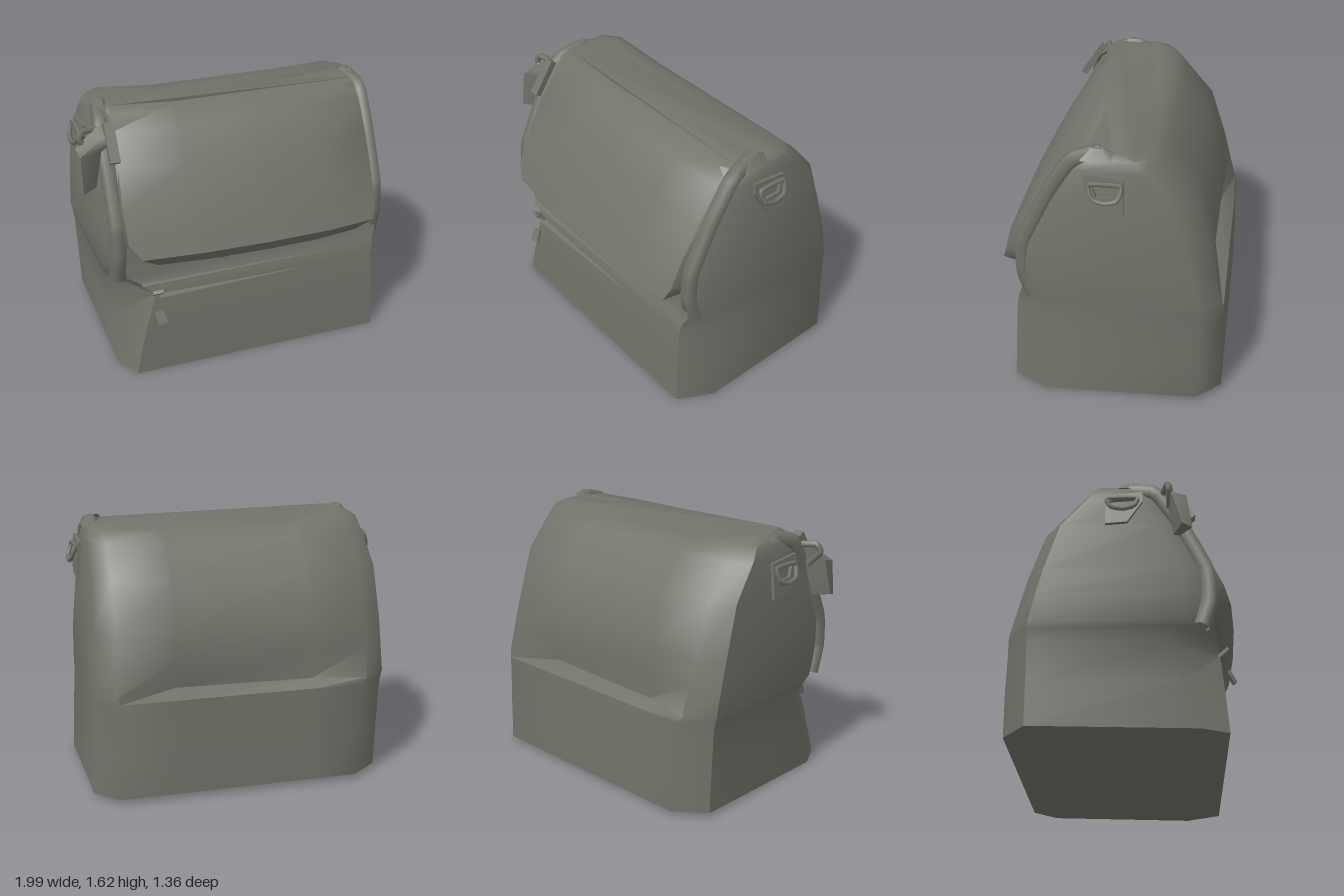
import * as THREE from 'three';
import { toCreasedNormals } from 'three/addons/utils/BufferGeometryUtils.js';

const canvas = new THREE.MeshStandardMaterial({ color: 0x72726a, side: THREE.DoubleSide });
canvas.name = 'olive grey canvas';

// Skin rows of points; closed rows wrap round and get caps
function loft(rows, closed, crease = 0.9) {
  const n = rows[0].length, idx = [];
  rows.slice(1).forEach((_, i) => {
    for (let j = 0; j < (closed ? n : n - 1); j++) {
      const a = i * n + j, b = i * n + (j + 1) % n;
      idx.push(a, b, b + n, a, b + n, a + n);
    }
  });
  if (closed) {
    const t = (rows.length - 1) * n;
    for (let j = 1; j < n - 1; j++) idx.push(0, j + 1, j, t, t + j, t + j + 1);
  }
  const g = new THREE.BufferGeometry();
  g.setAttribute('position', new THREE.Float32BufferAttribute(rows.flat(2), 3));
  g.setIndex(idx);
  return toCreasedNormals(g, crease);
}

function add(group, name, geometry) {
  const mesh = new THREE.Mesh(geometry, canvas);
  mesh.name = name;
  group.add(mesh);
  return mesh;
}

const tube = (points, r, closed = false) => new THREE.TubeGeometry(
  new THREE.CatmullRomCurve3(points.map(p => new THREE.Vector3(...p)), closed, 'catmullrom', 0.2),
  points.length * 4, r, 6, closed);

// Body ring with cut corners: left-front cut cl, right-front cut cf, back cut cb,
// dent pushes the back middle inward, lift raises the back, tilt raises the -x end, sag drops the middle
function ring([y, x0, x1, z0, z1, cl, cf, cb, dent = 0, lift = 0, tilt = 0, sag = 0]) {
  return [
    [x0 + cl, y + tilt, z1], [0.1, y - sag, z1], [x1 - cf, y, z1],
    [x1, y, z1 - cf * 1.9], [x1, y + lift, z0 + cb],
    [x1 - cb, y + lift, z0], [0.45, y + lift - sag, z0 + dent],
    [-0.4, y + lift - sag, z0 + dent * 0.7], [x0 + cb * 1.3, y + lift + tilt, z0],
    [x0, y + lift + tilt, z0 + cb], [x0, y + tilt, z1 - 0.08 - cl],
  ];
}

export function createModel() {
  const bag = new THREE.Group();
  bag.name = 'satchel';

  // Body: full base, back pocket opening, then tapering to the ridge
  add(bag, 'body', loft([
    [0.01, -0.84, 0.95, -0.68, 0.59, 0.08, 0.11, 0.14, 0, 0.03],
    [0.30, -0.85, 0.94, -0.68, 0.575, 0.16, 0.11, 0.14],
    [0.54, -0.86, 0.93, -0.67, 0.56, 0.24, 0.11, 0.13],
    [0.62, -0.87, 0.93, -0.67, 0.54, 0.16, 0.10, 0.13],
    [0.66, -0.88, 0.93, -0.66, 0.52, 0.10, 0.08, 0.12, 0.11],
    [0.84, -0.88, 0.92, -0.61, 0.53, 0.08, 0.06, 0.11, 0.02],
    [1.00, -0.88, 0.91, -0.57, 0.51, 0.07, 0.06, 0.11],
    [1.30, -0.87, 0.90, -0.47, 0.38, 0.07, 0.06, 0.10],
    [1.50, -0.85, 0.89, -0.30, 0.27, 0.07, 0.06, 0.09],
    [1.565, -0.83, 0.88, -0.23, 0.21, 0.07, 0.07, 0.08, 0, 0, 0.02, 0.01],
    [1.59, -0.78, 0.84, -0.14, 0.16, 0.03, 0.03, 0.06, 0, 0, 0.03, 0.03],
  ].map(ring), true));

  // Front flap: rows of height, depth, half-edges and side return depth
  const flapRows = [
    [0.77, 0.50, -0.58, 0.66, 0.49],
    [0.745, 0.62, -0.60, 0.68, 0.51],
    [0.83, 0.68, -0.71, 0.77, 0.53],
    [0.92, 0.64, -0.78, 0.80, 0.52],
    [1.10, 0.56, -0.78, 0.80, 0.46],
    [1.31, 0.445, -0.77, 0.80, 0.37],
    [1.50, 0.32, -0.76, 0.80, 0.26],
    [1.585, 0.22, -0.75, 0.79, 0.18],
    [1.60, 0.08, -0.74, 0.78, 0.06],
    [1.57, -0.10, -0.72, 0.76, -0.12],
  ];
  add(bag, 'frontFlap', loft(flapRows.map(([y, z, xl, xr, zb]) => [
    [xl - 0.02, y, zb], [xl, y, z - 0.05], [xl * 0.5, y, z - 0.015],
    [0.06, y, z], [xr * 0.6, y, z - 0.005], [xr, y, z - 0.04], [xr + 0.02, y, zb],
  ]), false, 1.0));

  // Padded seams blending the flap sides into the corners
  for (const [name, x] of [['leftSeam', 0.84], ['rightSeam', -0.815]]) {
    add(bag, name, tube([
      [x - Math.sign(x) * 0.03, 1.58, 0.04], [x, 1.54, 0.2], [x, 1.32, 0.34],
      [x, 1.0, 0.49], [x, 0.8, 0.5], [x, 0.64, 0.45],
    ], 0.052));
  }

  // Peaked folds at both ends of the ridge
  for (const [name, x, y] of [['leftPeak', 0.83, 1.59], ['rightPeak', -0.78, 1.605]]) {
    const peak = add(bag, name, new THREE.CylinderGeometry(0.03, 0.1, 0.06, 6));
    peak.position.set(x, y, 0.06);
    peak.scale.set(0.7, 1, 1.6);
  }

  // Pocket edge bands across the front
  const band = (name, y, z, x0, x1, drop) => add(bag, name, loft([
    [[x0, y - drop, z - 0.02], [x1, y - drop * 0.4, z - 0.03]],
    [[x0, y, z + 0.02], [x1, y, z - 0.01]],
    [[x0, y + 0.02, z - 0.05], [x1, y + 0.01, z - 0.05]],
  ], false));
  band('pocketRim', 0.61, 0.55, -0.7, 0.76, 0.03);
  band('pocketFold', 0.53, 0.575, -0.6, 0.3, 0.015);
  band('flapLining', 0.72, 0.53, -0.2, 0.68, 0.05);

  // Side ring tabs: framed plate with a ring
  for (const s of [1, -1]) {
    const tab = new THREE.Group();
    tab.name = s > 0 ? 'leftRingTab' : 'rightRingTab';
    const shape = new THREE.Shape([[-0.12, 0.11], [0.1, 0.09], [0.1, -0.12], [-0.03, -0.11], [-0.12, 0.04]]
      .map(p => new THREE.Vector2(...p)));
    shape.holes.push(new THREE.Path([[-0.08, 0.06], [-0.05, -0.02], [0.06, -0.02], [0.08, 0.05]]
      .map(p => new THREE.Vector2(...p))));
    const plate = add(tab, 'plate', new THREE.ExtrudeGeometry(shape, { depth: 0.02, bevelEnabled: false }));
    plate.rotation.y = Math.PI / 2;
    add(tab, 'ring', tube([[0.03, 0.06, 0.09], [0.03, 0.06, -0.09], [0.05, -0.02, -0.07],
      [0.05, -0.04, 0], [0.05, -0.02, 0.07]], 0.014, true));
    tab.position.set(s > 0 ? 0.925 : -0.895, 1.39, 0);
    tab.rotation.z = s > 0 ? 0.1 : -0.1;
    tab.scale.x = s;
    bag.add(tab);
  }

  // Loose strap end and buckle on the right shoulder
  add(bag, 'strapEnd', loft([
    [[-0.98, 1.2, 0.41], [-0.89, 1.2, 0.34], [-0.9, 1.2, 0.3], [-1.0, 1.22, 0.35]],
    [[-0.98, 1.42, 0.38], [-0.85, 1.42, 0.34], [-0.85, 1.44, 0.27], [-0.99, 1.44, 0.29]],
    [[-0.84, 1.5, 0.34], [-0.76, 1.48, 0.34], [-0.76, 1.54, 0.26], [-0.86, 1.54, 0.26]],
  ], true));
  const buckle = add(bag, 'buckle', new THREE.BoxGeometry(0.06, 0.24, 0.04));
  buckle.position.set(-0.79, 1.47, 0.35);
  buckle.rotation.x = -0.6;
  add(bag, 'strapLoop', tube([[-0.88, 1.4, 0.28], [-0.96, 1.48, 0.28], [-0.94, 1.53, 0.27],
    [-0.84, 1.52, 0.24]], 0.02));

  // Small fastener tabs on the front pocket
  for (const [name, y, z, tilt] of [['upperTab', 0.56, 0.58, 0.9], ['lowerTab', 0.41, 0.62, -0.5]]) {
    const tab = add(bag, name, new THREE.BoxGeometry(0.06, 0.08, 0.02));
    tab.position.set(-0.61, y, z);
    tab.rotation.set(tilt, 0, 0.2);
  }
  return bag;
}
